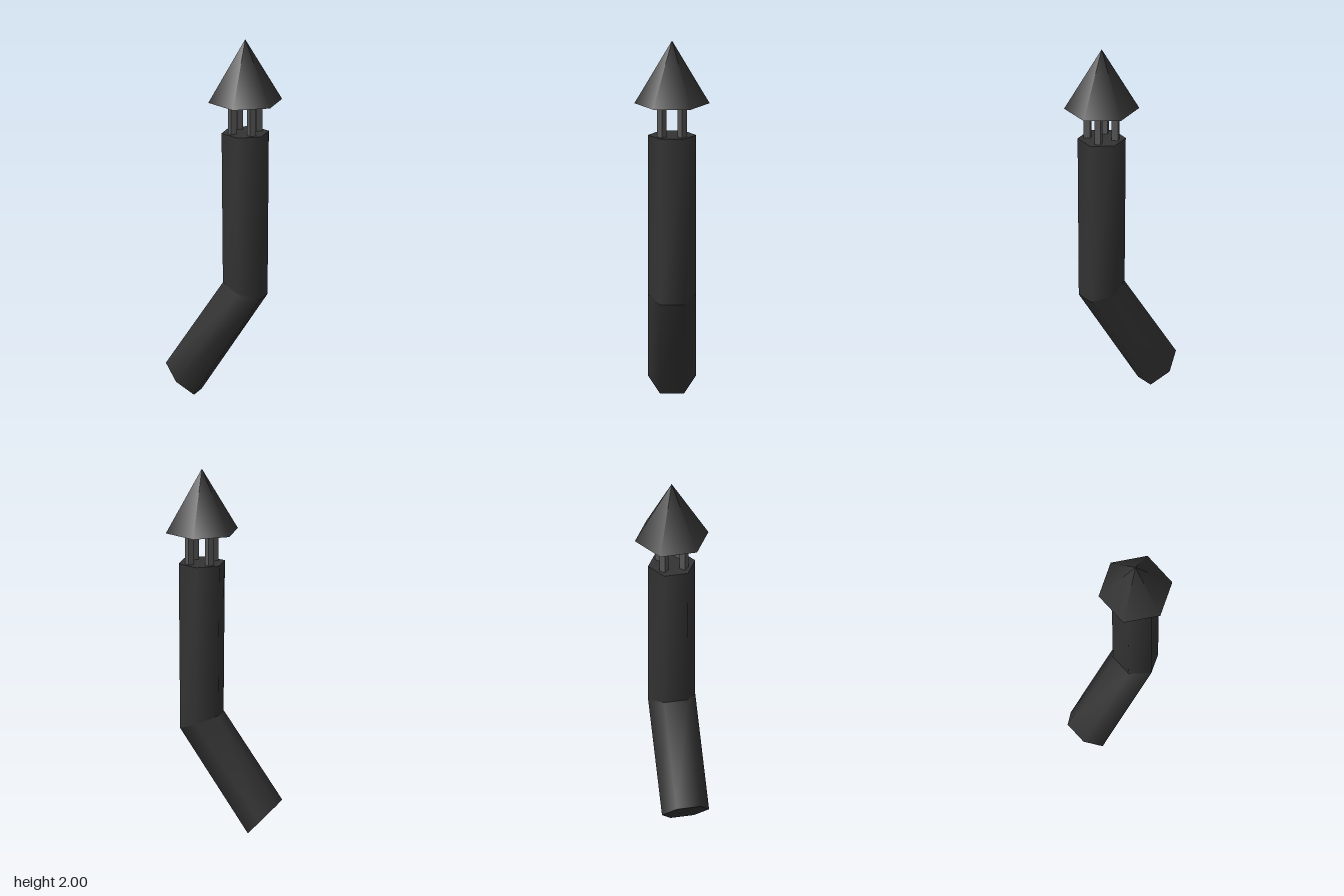
import * as THREE from 'three';
import { toCreasedNormals } from 'three/addons/utils/BufferGeometryUtils.js';

const SIDES = 6;
const PIPE_RADIUS = 0.13;
const FLAT = PIPE_RADIUS * Math.cos(Math.PI / SIDES);
const AXIS_X = 0.125;

// Hexagonal pipe between two slanted end cuts, each given by its left and right edge [x, y]
function pipeSection(bottom, top) {
  const geo = new THREE.CylinderGeometry(PIPE_RADIUS, PIPE_RADIUS, 1, SIDES);
  const pos = geo.attributes.position;
  for (let i = 0; i < pos.count; i++) {
    const [left, right] = pos.getY(i) > 0 ? top : bottom;
    const t = (pos.getX(i) / FLAT + 1) / 2;
    pos.setX(i, THREE.MathUtils.lerp(left[0], right[0], t));
    pos.setY(i, THREE.MathUtils.lerp(left[1], right[1], t));
  }
  return toCreasedNormals(geo, 1.15);
}

export function createModel() {
  const group = new THREE.Group();
  group.name = 'stovePipe';

  const darkMetal = new THREE.MeshStandardMaterial({ color: 0x333333 });
  darkMetal.name = 'dark metal';
  const greyMetal = new THREE.MeshStandardMaterial({ color: 0x555555 });
  greyMetal.name = 'grey metal';

  const add = (name, geometry, material, x = 0, y = 0, z = 0) => {
    const mesh = new THREE.Mesh(geometry, material);
    mesh.name = name;
    mesh.position.set(x, y, z);
    group.add(mesh);
  };

  // Bent pipe: slanted lower run and upright upper run share the mitred joint
  const end = [[-0.305, 0.165], [-0.145, 0]];
  const joint = [[0.02, 0.645], [0.23, 0.565]];
  const mouth = [[AXIS_X - FLAT, 1.48], [AXIS_X + FLAT, 1.48]];
  add('lowerPipe', pipeSection(end, joint), darkMetal);
  add('upperPipe', pipeSection(joint, mouth), darkMetal);

  // Four thin square posts, set corner-on, carry the rain cap
  const post = toCreasedNormals(new THREE.CylinderGeometry(0.025, 0.025, 0.18, 4), 0.5);
  for (const sx of [-1, 1]) {
    for (const sz of [-1, 1]) {
      add('capPost', post, greyMetal, AXIS_X + sx * 0.055, 1.568, sz * 0.055);
    }
  }

  // Six-sided conical rain cap
  add('rainCap', new THREE.ConeGeometry(0.203, 0.345, SIDES), darkMetal, AXIS_X, 1.8275, 0);

  return group;
}
